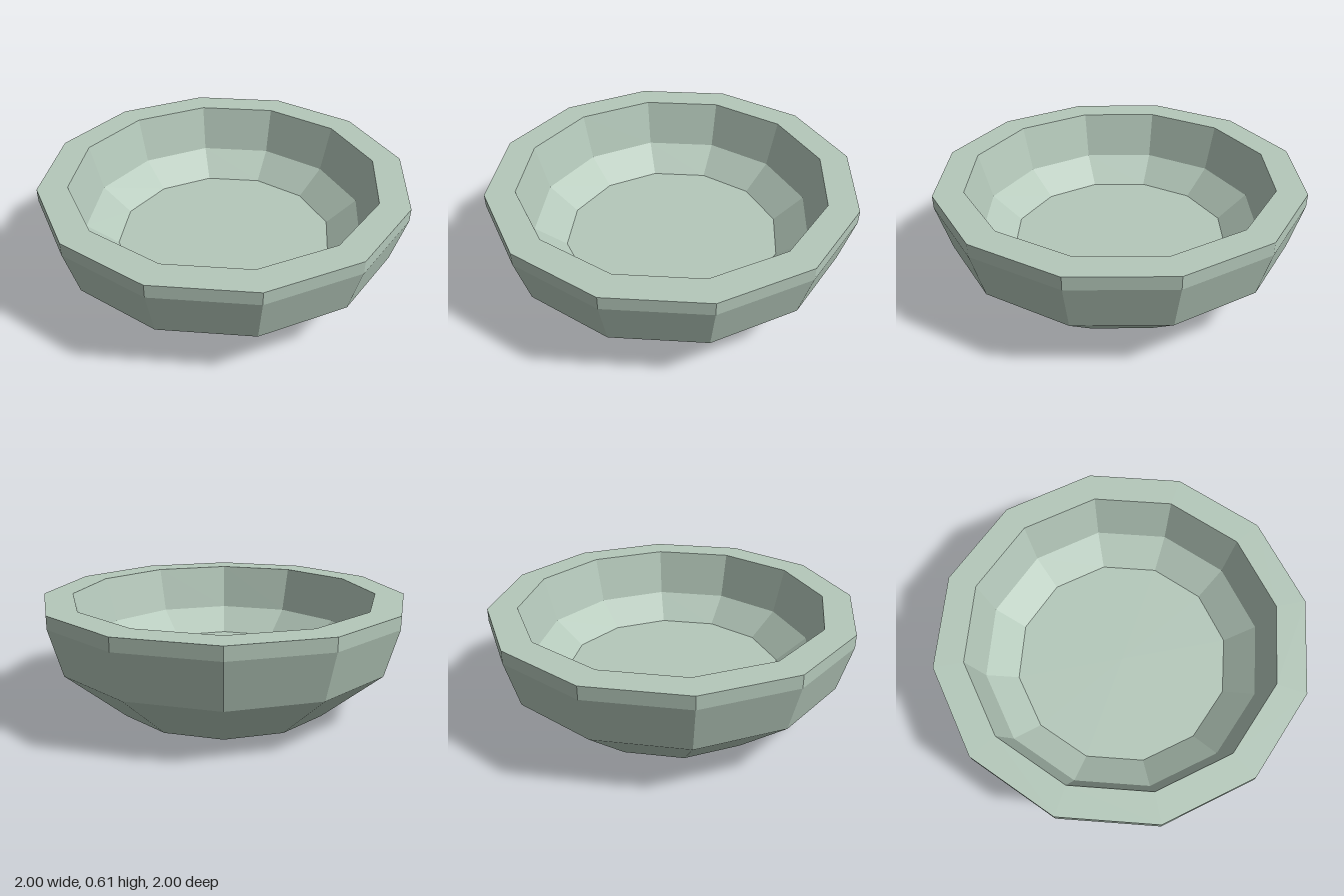
import * as THREE from 'three';

export function createModel() {
  const model = new THREE.Group();
  model.name = 'bowl';

  const glaze = new THREE.MeshStandardMaterial({ color: 0xb4c8ba, flatShading: true });
  glaze.name = 'pale sage glaze';

  // Each part is a twelve-sided band; profiles run up the outside, over the rim and down the inside
  const parts = {
    base: [[0, 0], [0.605, 0]],
    outerWall: [[0.605, 0], [0.93, 0.283], [1, 0.537]],
    lip: [[1, 0.537], [1, 0.607]],
    rim: [[1, 0.607], [0.84, 0.607]],
    innerWall: [[0.84, 0.607], [0.77, 0.35], [0.605, 0.217]],
    floor: [[0.605, 0.217], [0, 0.217]],
  };

  for (const [name, profile] of Object.entries(parts)) {
    const points = profile.map(([r, y]) => new THREE.Vector2(r, y));
    const mesh = new THREE.Mesh(new THREE.LatheGeometry(points, 12), glaze);
    mesh.name = name;
    model.add(mesh);
  }
  return model;
}
